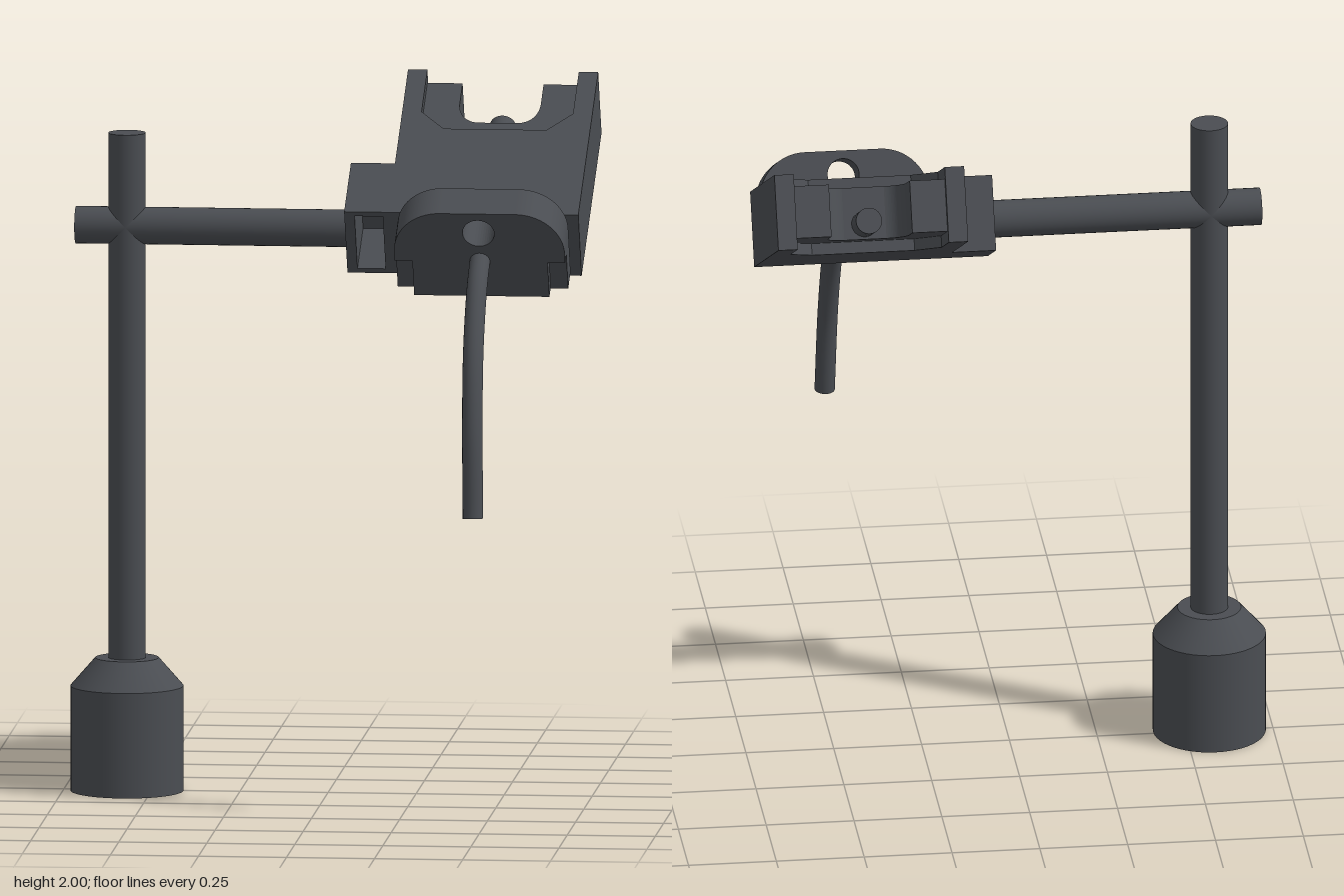
import * as THREE from 'three';

const material = new THREE.MeshStandardMaterial({ color: 0x4a4d52 });

function add(parent, name, geometry, x = 0, y = 0, z = 0) {
  const mesh = new THREE.Mesh(geometry, material);
  mesh.name = name;
  mesh.position.set(x, y, z);
  parent.add(mesh);
  return mesh;
}

const extrude = (shape, depth) =>
  new THREE.ExtrudeGeometry(shape, { depth, bevelEnabled: false, curveSegments: 20 });

// Outline given as (x, distance towards the back), raised upwards from y0 to y1
function addSlab(parent, name, shape, y0, y1) {
  add(parent, name, extrude(shape, y1 - y0).rotateX(-Math.PI / 2), 0, y0, 0);
}

function polygon(points) {
  return new THREE.Shape(points.map(([x, y]) => new THREE.Vector2(x, y)));
}

const HALF = 0.27, RAIL = 0.215, LENGTH = 0.678;

// Core plate: side rails, two prongs and a rounded slot between them
function coreShape() {
  const s = new THREE.Shape();
  s.moveTo(-HALF, 0);
  s.lineTo(HALF, 0);
  s.lineTo(HALF, LENGTH);
  s.lineTo(RAIL, LENGTH);
  s.lineTo(RAIL, 0.66);
  s.lineTo(0.115, 0.66);
  s.lineTo(0.115, 0.56);
  s.quadraticCurveTo(0.11, 0.485, 0.06, 0.475);
  s.lineTo(-0.06, 0.475);
  s.quadraticCurveTo(-0.11, 0.485, -0.115, 0.56);
  s.lineTo(-0.115, 0.66);
  s.lineTo(-RAIL, 0.66);
  s.lineTo(-RAIL, LENGTH);
  s.lineTo(-HALF, LENGTH);
  s.closePath();
  return s;
}

// Cover plates: side rails around a wide recess with cut corners
function coverShape() {
  return polygon([
    [-HALF, 0], [HALF, 0], [HALF, LENGTH], [RAIL, LENGTH], [RAIL, 0.479], [0.146, 0.4],
    [-0.146, 0.4], [-RAIL, 0.479], [-RAIL, LENGTH], [-HALF, LENGTH],
  ]);
}

// Flange outline: rounded top corners, optional notches in the bottom corners
function flangeShape(notched) {
  const w = 0.242, top = 0.213, low = -0.075, r = 0.135;
  const inner = notched ? w - 0.05 : w, step = notched ? 0.045 : low;
  const s = new THREE.Shape();
  s.moveTo(-inner, low);
  s.lineTo(inner, low);
  if (notched) s.lineTo(inner, step).lineTo(w, step);
  s.lineTo(w, top - r);
  s.absarc(w - r, top - r, r, 0, Math.PI / 2);
  s.lineTo(r - w, top);
  s.absarc(r - w, top - r, r, Math.PI / 2, Math.PI);
  if (notched) s.lineTo(-w, step).lineTo(-inner, step);
  else s.lineTo(-w, low);
  s.closePath();
  s.holes.push(new THREE.Path().absarc(0, 0.145, 0.045, 0, Math.PI * 2, true));
  return s;
}

export function createModel() {
  const model = new THREE.Group();
  model.name = 'standWithHead';

  // Stand
  const stand = new THREE.Group();
  stand.name = 'stand';
  stand.position.set(-0.57, 0, 0.01);
  model.add(stand);
  add(stand, 'base', new THREE.CylinderGeometry(0.16, 0.16, 0.3, 48), 0, 0.15, 0);
  add(stand, 'baseCone', new THREE.CylinderGeometry(0.09, 0.16, 0.08, 48), 0, 0.34, 0);
  add(stand, 'post', new THREE.CylinderGeometry(0.053, 0.053, 1.52, 32), 0, 1.12, 0);
  const arm = new THREE.CylinderGeometry(0.053, 0.053, 0.79, 32).rotateZ(Math.PI / 2);
  add(model, 'crossArm', arm, -0.32, 1.615, 0.01);

  // Tilted head
  const head = new THREE.Group();
  head.name = 'head';
  head.position.set(0.453, 1.586, 0.08);
  head.rotation.x = 0.491;
  model.add(head);

  addSlab(head, 'bodyCore', coreShape(), -0.074, 0.074);
  addSlab(head, 'topCover', coverShape(), 0.074, 0.107);
  addSlab(head, 'bottomCover', coverShape(), -0.107, -0.074);

  // Peg standing in the slot
  const peg = new THREE.CylinderGeometry(0.037, 0.037, 0.15, 28).rotateX(Math.PI / 2);
  add(head, 'peg', peg, 0, -0.03, -0.525);

  // Clamp block with a deep pocket in its front
  const clamp = polygon([[-0.395, -0.107], [-0.27, -0.107], [-0.27, 0.107], [-0.395, 0.107]]);
  clamp.holes.push(polygon([[-0.366, -0.092], [-0.366, 0.092], [-0.286, 0.092], [-0.286, -0.092]]));
  add(head, 'clampBlock', extrude(clamp, 0.19), 0, 0, -0.19);
  add(head, 'clampBack', new THREE.BoxGeometry(0.125, 0.214, 0.042), -0.3325, 0, -0.211);

  // Front flange
  add(head, 'flangeSpacer', new THREE.BoxGeometry(0.46, 0.165, 0.03), 0, 0.0075, 0.013);
  add(head, 'flangeBack', extrude(flangeShape(false), 0.08), 0, 0, 0.025);
  add(head, 'flangeFront', extrude(flangeShape(true), 0.04), 0, 0, 0.105);

  // Hanging cable
  const path = new THREE.CatmullRomCurve3([
    [0.453, 1.61, 0.15], [0.453, 1.567, 0.217], [0.453, 1.49, 0.325], [0.454, 1.33, 0.44],
    [0.458, 1.13, 0.51], [0.463, 0.87, 0.545],
  ].map((p) => new THREE.Vector3(...p)));
  add(model, 'cable', new THREE.TubeGeometry(path, 48, 0.029, 20));
  const end = new THREE.CircleGeometry(0.029, 20);
  const cap = add(model, 'cableEnd', end, ...path.getPoint(1).toArray());
  cap.quaternion.setFromUnitVectors(new THREE.Vector3(0, 0, 1), path.getTangent(1));

  return model;
}
